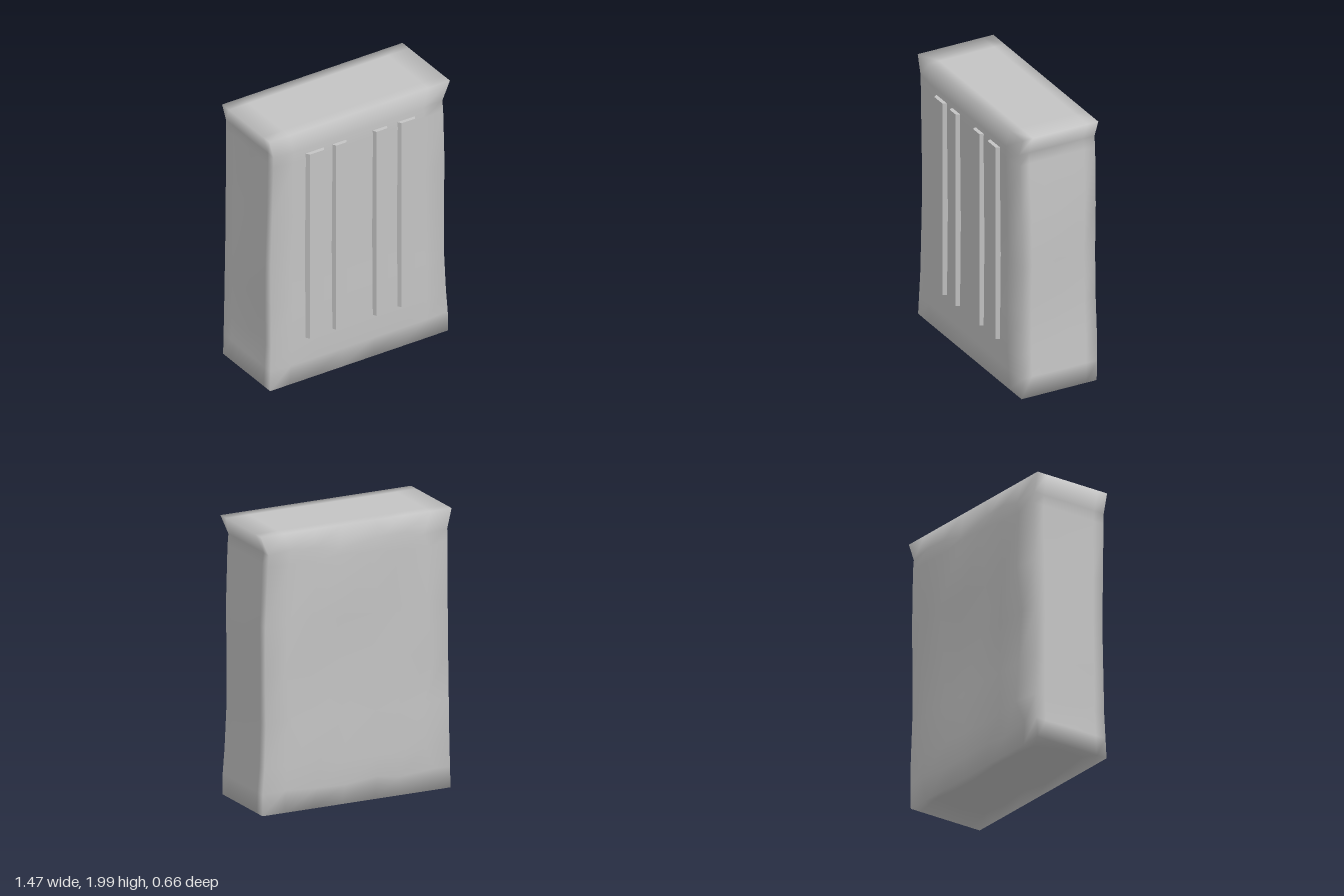
import * as THREE from 'three';
import { mergeVertices } from 'three/addons/utils/BufferGeometryUtils.js';

// Piecewise-linear lookup through [position, value] pairs
function lookup(pairs, t) {
  for (let i = 1; i < pairs.length; i++) {
    const [a, va] = pairs[i - 1], [b, vb] = pairs[i];
    if (t <= b) return va + (vb - va) * Math.max(0, (t - a) / (b - a));
  }
  return pairs[pairs.length - 1][1];
}

// Repeatable roughness from 0 to 1
function rough(a, b, c) {
  const s = Math.sin(a * 12.99 + b * 78.23 + c * 37.72) * 43758.55;
  return s - Math.floor(s);
}

const COLS = [-1, -0.78, -0.5, -0.2, 0.15, 0.45, 0.76, 1];
const ROWS = [0.01, 0.16, 0.34, 0.65, 1, 1.35, 1.78, 1.86, 2];
const DEPTHS = [-1, -0.72, 0, 0.72, 1];

// Outline of the slab, by height
const LEFT_EDGE = [[0, 0.72], [0.2, 0.72], [0.5, 0.695], [1.1, 0.7], [1.6, 0.7], [1.86, 0.675], [2, 0.735]];
const RIGHT_EDGE = [[0, 0.73], [0.35, 0.715], [1.1, 0.71], [1.6, 0.7], [1.86, 0.7], [2, 0.735]];
const FRONT_RIM = [[0, 0.29], [0.35, 0.28], [1, 0.268], [1.5, 0.28], [2, 0.29]];
const FRONT_FACE = [[0, 0.29], [0.2, 0.298], [0.34, 0.303], [1, 0.298], [1.8, 0.304], [2, 0.29]];
const BACK_RIM = [[0, 0.295], [0.35, 0.305], [1, 0.295], [1.75, 0.305], [2, 0.3]];
const BACK_FACE = [[0, 0.295], [0.34, 0.318], [1, 0.31], [1.78, 0.322], [2, 0.3]];

// Worn stone slab: a gridded box whose vertices follow the outlines
function slabGeometry() {
  const nx = COLS.length - 1, ny = ROWS.length - 1, nz = DEPTHS.length - 1;
  let geo = new THREE.BoxGeometry(nx, ny, nz, nx, ny, nz);
  geo.deleteAttribute('uv');
  geo.deleteAttribute('normal');
  geo = mergeVertices(geo);
  const p = geo.attributes.position;
  for (let n = 0; n < p.count; n++) {
    const i = Math.round(p.getX(n) + nx / 2);
    const j = Math.round(p.getY(n) + ny / 2);
    const k = Math.round(p.getZ(n) + nz / 2);
    const u = COLS[i], w = DEPTHS[k];
    let y = ROWS[j];
    const innerX = i > 0 && i < nx, innerZ = k > 0 && k < nz, innerY = j > 0 && j < ny;
    let x = u * lookup(u > 0 ? LEFT_EDGE : RIGHT_EDGE, y);
    const rim = w > 0 ? FRONT_RIM : BACK_RIM, face = w > 0 ? FRONT_FACE : BACK_FACE;
    let z = w * lookup(innerX ? face : rim, y);
    // dents in the back, slighter ones along the sides
    if (k === 0 && innerX && innerY) {
      z += (rough(i, j, 1) - 0.6) * 0.028;
      x += (rough(i, j, 2) - 0.5) * 0.08;
      y += (rough(i, j, 3) - 0.5) * 0.06;
    }
    if (!innerX && innerZ && innerY) x -= Math.sign(u) * rough(i, j, k) * 0.008;
    // crumpled underside
    if (j === 0 && innerX && innerZ) y += rough(i, k, 5) * 0.05;
    p.setXYZ(n, x, y, z);
  }
  geo.computeVertexNormals();
  return geo;
}

// Raised strip with a bevelled cross-section
function stripGeometry(x0, x1, bevel) {
  const back = 0.285, front = 0.33;
  const shape = new THREE.Shape([
    new THREE.Vector2(x0, -back),
    new THREE.Vector2(x0 + bevel, -front),
    new THREE.Vector2(x1 - bevel, -front),
    new THREE.Vector2(x1, -back),
  ]);
  const geo = new THREE.ExtrudeGeometry(shape, { depth: 1.47, bevelEnabled: false });
  geo.rotateX(-Math.PI / 2);
  geo.translate(0, 0.35, 0);
  return geo;
}

export function createModel() {
  const group = new THREE.Group();
  const stone = new THREE.MeshStandardMaterial({ color: 0xc4c4c4 });
  stone.name = 'pale grey stone';

  const slab = new THREE.Mesh(slabGeometry(), stone);
  slab.name = 'slab';
  group.add(slab);

  // Four vertical strips on the front
  const strips = new THREE.Group();
  strips.name = 'frontStrips';
  [[-0.46, -0.29, 0.028], [-0.24, -0.11, 0.022], [0.09, 0.22, 0.02], [0.29, 0.45, 0.026]].forEach(([a, b, bevel], i) => {
    const strip = new THREE.Mesh(stripGeometry(a, b, bevel), stone);
    strip.name = `frontStrip${i + 1}`;
    strips.add(strip);
  });
  group.add(strips);
  return group;
}
